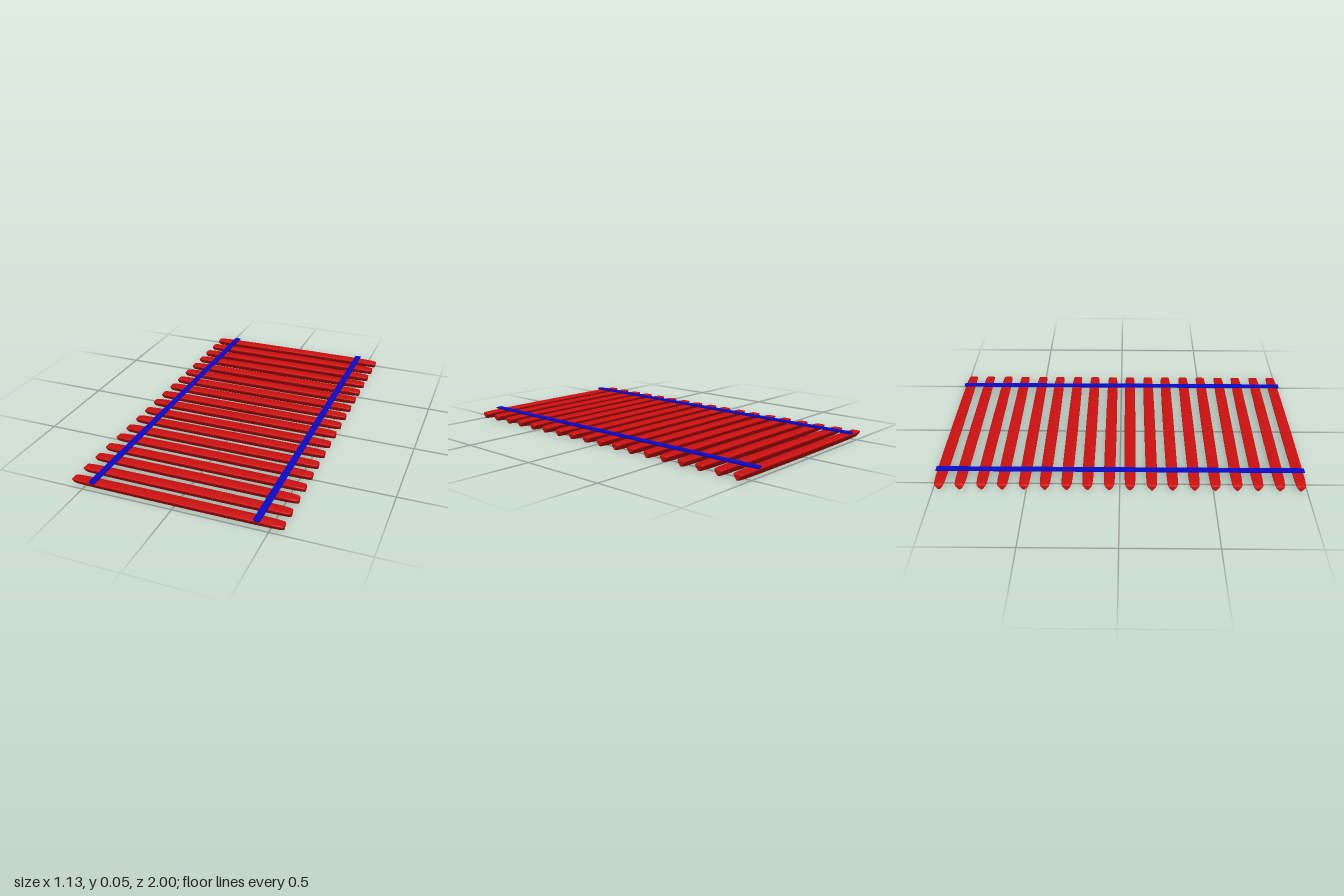
import * as THREE from 'three';
import { toCreasedNormals } from 'three/addons/utils/BufferGeometryUtils.js';

const red = new THREE.MeshStandardMaterial({ color: 0xd01010 });
const blue = new THREE.MeshStandardMaterial({ color: 0x0808cc });

// Rounded-triangle section lofted along x, slightly barrelled, with eased ends
function sleeperGeometry() {
  const shape = new THREE.Shape();
  shape.moveTo(-0.025, 0.043);
  shape.lineTo(0.025, 0.043);
  shape.quadraticCurveTo(0.036, 0.042, 0.03, 0.033);
  shape.quadraticCurveTo(0.024, 0.022, 0.008, 0.003);
  shape.quadraticCurveTo(0, -0.003, -0.008, 0.003);
  shape.quadraticCurveTo(-0.024, 0.022, -0.03, 0.033);
  shape.quadraticCurveTo(-0.036, 0.042, -0.025, 0.043);
  const section = shape.getPoints(5);
  section.pop();

  // [x, section scale] from the middle to the closed end
  const half = [[0.2, 0.99], [0.4, 0.96], [0.5, 0.91], [0.55, 0.83], [0.562, 0.75], [0.567, 0.62], [0.567, 0]];
  const stations = [...half.map(([x, s]) => [-x, s]).reverse(), [0, 1], ...half];
  const n = section.length;
  const midY = 0.026;
  const positions = [];
  const index = [];
  stations.forEach(([x, s], i) => {
    section.forEach((p, j) => {
      positions.push(x, midY + (p.y - midY) * s, p.x * s);
      if (i === stations.length - 1) return;
      const a = i * n + j, b = i * n + (j + 1) % n;
      index.push(a, b, a + n, b, b + n, a + n);
    });
  });
  const geometry = new THREE.BufferGeometry();
  geometry.setAttribute('position', new THREE.Float32BufferAttribute(positions, 3));
  geometry.setIndex(index);
  // Make the winding face outwards, whichever way the section runs
  if (THREE.ShapeUtils.isClockWise(section)) index.reverse();
  geometry.setIndex(index.reverse());
  orientOutward(geometry);
  return toCreasedNormals(geometry, 0.6);
}

// Flip the triangles if the enclosed volume is negative
function orientOutward(geometry) {
  const p = geometry.attributes.position;
  const index = [...geometry.index.array];
  const [a, b, c] = [0, 1, 2].map(() => new THREE.Vector3());
  let volume = 0;
  for (let i = 0; i < index.length; i += 3) {
    [a, b, c].forEach((v, k) => v.fromBufferAttribute(p, index[i + k]));
    volume += a.dot(b.cross(c));
  }
  if (volume < 0) geometry.setIndex(index.reverse());
}

// Rail: narrow foot under a wider head
function railGeometry() {
  const profile = new THREE.Shape([
    [-0.011, 0.043], [0.011, 0.043], [0.011, 0.047], [0.018, 0.049],
    [0.018, 0.054], [-0.018, 0.054], [-0.018, 0.049], [-0.011, 0.047],
  ].map(([x, y]) => new THREE.Vector2(x, y)));
  return new THREE.ExtrudeGeometry(profile, { depth: 2, bevelEnabled: false }).translate(0, 0, -1);
}

export function createModel() {
  const model = new THREE.Group();
  model.name = 'railTrack';

  // Sleepers in nine pairs
  const sleepers = new THREE.Group();
  sleepers.name = 'sleepers';
  const sleeper = sleeperGeometry();
  for (let k = 0; k < 9; k++) {
    for (const start of [-0.965, -0.854]) {
      const mesh = new THREE.Mesh(sleeper, red);
      mesh.name = 'sleeper';
      mesh.position.z = start + k * 0.2273;
      sleepers.add(mesh);
    }
  }
  model.add(sleepers);

  // Two rails
  const rail = railGeometry();
  for (const side of [-1, 1]) {
    const mesh = new THREE.Mesh(rail, blue);
    mesh.name = side > 0 ? 'leftRail' : 'rightRail';
    mesh.position.x = side * 0.44;
    model.add(mesh);
  }
  return model;
}
